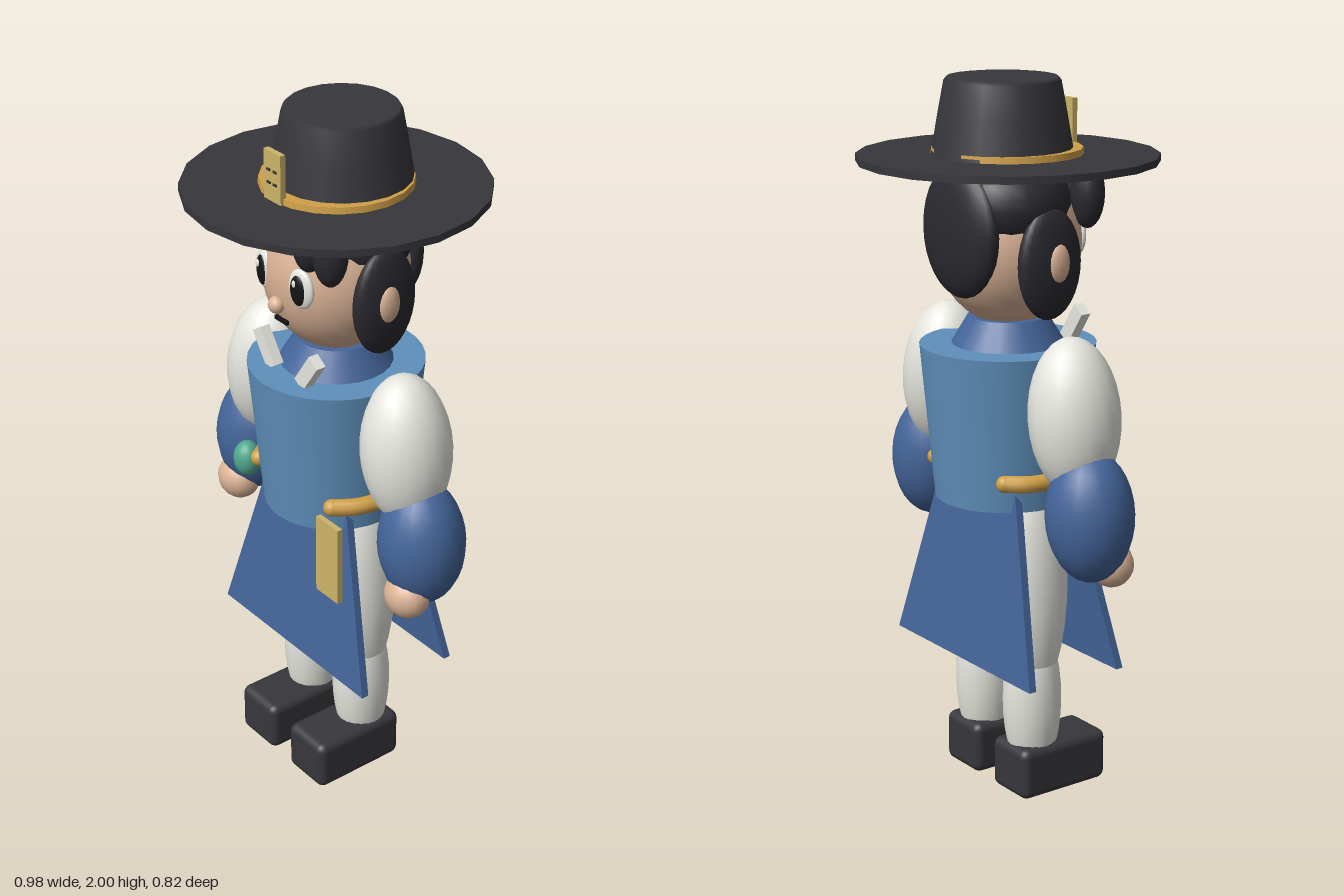
import * as THREE from 'three';
import { RoundedBoxGeometry } from 'three/addons/geometries/RoundedBoxGeometry.js';

const paint = (name, color) => {
  const m = new THREE.MeshStandardMaterial({ color });
  m.name = name;
  return m;
};

export function createModel() {
  const hatBlack = paint('hatBlack', 0x37373c);
  const hairBlack = paint('hairBlack', 0x2a2a30);
  const gold = paint('gold', 0xd0a048);
  const paleGold = paint('paleGold', 0xcdb469);
  const navy = paint('navyBlue', 0x44659a);
  const vestBlue = paint('vestBlue', 0x5f90bb);
  const white = paint('clothWhite', 0xe6e6df);
  const skin = paint('skin', 0xdcb497);
  const teal = paint('teal', 0x4fa88f);
  const ink = paint('ink', 0x141416);

  const model = new THREE.Group();
  model.name = 'hattedFigure';

  const add = (name, geometry, material, x = 0, y = 0, z = 0) => {
    const mesh = new THREE.Mesh(geometry, material);
    mesh.name = name;
    mesh.position.set(x, y, z);
    model.add(mesh);
    return mesh;
  };
  const blob = (name, material, [x, y, z], [rx, ry, rz], w = 20, h = 16) =>
    add(name, new THREE.SphereGeometry(1, w, h).scale(rx, ry, rz), material, x, y, z);
  const box = (name, material, [x, y, z], [w, h, d]) =>
    add(name, new THREE.BoxGeometry(w, h, d), material, x, y, z);

  // Hat: flat brim, tapered crown, gold band and front badge
  add('hatBrim', new THREE.CylinderGeometry(0.408, 0.408, 0.02, 20), hatBlack, 0, 1.785, 0);
  const crown = [[0.192, 1.79], [0.173, 1.9], [0.156, 1.99], [0.148, 2.0], [0, 2.0]];
  add('hatCrown', new THREE.LatheGeometry(crown.map(p => new THREE.Vector2(...p)), 20), hatBlack, 0, 0, -0.018);
  add('hatBand', new THREE.CylinderGeometry(0.203, 0.206, 0.025, 20), gold, 0, 1.8, -0.002);
  box('hatBadge', paleGold, [0, 1.835, 0.197], [0.07, 0.19, 0.016]);
  for (const y of [1.845, 1.88]) {
    for (const s of [-1, 1]) box('badgeMark', hatBlack, [s * 0.013, y, 0.206], [0.014, 0.006, 0.005]);
  }

  // Head and face
  blob('head', skin, [0, 1.56, 0], [0.2, 0.23, 0.2], 28, 20);
  blob('nose', skin, [0, 1.5, 0.198], [0.024, 0.024, 0.022], 14, 10);
  box('mouth', ink, [0, 1.45, 0.181], [0.052, 0.011, 0.009]);

  // Hair: cap, back mass and fringe locks
  blob('hairCap', hairBlack, [0, 1.67, -0.025], [0.205, 0.15, 0.18], 24, 16);
  blob('backHair', hairBlack, [0, 1.6, -0.155], [0.16, 0.18, 0.055]);
  for (const [x, y, z] of [[-0.16, 1.695, 0.145], [-0.085, 1.71, 0.155], [0, 1.725, 0.16],
    [0.085, 1.71, 0.155], [0.16, 1.695, 0.145]]) {
    blob('fringeLock', hairBlack, [x, y, z], [0.05, 0.095, 0.045], 16, 12);
  }

  // Torso
  add('collar', new THREE.CylinderGeometry(0.11, 0.17, 0.1, 24), navy, 0, 1.305, 0);
  add('vest', new THREE.CylinderGeometry(0.24, 0.2, 0.43, 32).scale(0.99, 1, 1.02), vestBlue, 0, 1.065, 0);

  // Skirt panels: box narrowed at the top and leaning outward to the hem
  for (const s of [1, -1]) {
    const g = new THREE.BoxGeometry(0.64, 0.56, 0.022);
    const p = g.attributes.position;
    for (let i = 0; i < p.count; i++) {
      const t = (p.getY(i) + 0.28) / 0.56;
      p.setX(i, p.getX(i) * (1 - 0.495 * t));
      p.setZ(i, p.getZ(i) + s * (0.149 - 0.062 * t));
    }
    g.computeVertexNormals();
    add(s > 0 ? 'frontSkirt' : 'backSkirt', g, navy, 0, 0.67, 0);
  }

  // Mirrored parts
  for (const s of [1, -1]) {
    const side = s > 0 ? 'left' : 'right';

    // Eye: white, dark pupil, small highlight
    const eye = blob(side + 'Eye', white, [s * 0.078, 1.57, 0.176], [0.043, 0.056, 0.016]);
    eye.rotation.y = s * 0.2;
    const pupil = blob(side + 'Pupil', ink, [s * 0.078, 1.568, 0.186], [0.026, 0.043, 0.01], 16, 12);
    pupil.rotation.y = s * 0.2;
    blob(side + 'EyeGlint', white, [s * 0.078 - 0.007, 1.586, 0.194], [0.008, 0.011, 0.004], 10, 8);

    // Side lock with the ear showing through
    blob(side + 'SideHair', hairBlack, [s * 0.193, 1.525, -0.005], [0.038, 0.15, 0.1]);
    blob(side + 'Ear', skin, [s * 0.22, 1.53, 0.003], [0.022, 0.055, 0.036], 14, 10);

    // Lapel strip
    const lapel = box(side + 'Lapel', white, [s * 0.092, 1.325, 0.16], [0.042, 0.11, 0.03]);
    lapel.rotation.z = -s * 0.6;

    // Arm: sleeve, cuff, hand
    const sleeve = blob(side + 'Sleeve', white, [s * 0.3, 1.13, 0], [0.12, 0.216, 0.127]);
    sleeve.rotation.z = s * 0.1;
    const cuff = blob(side + 'Cuff', navy, [s * 0.37, 0.876, 0], [0.121, 0.182, 0.12]);
    cuff.rotation.z = s * 0.06;
    blob(side + 'Hand', skin, [s * 0.385, 0.735, 0.06], [0.068, 0.065, 0.06], 16, 12);

    // Belt roll on the hip
    const pts = [[0.165, 0.145], [0.205, 0.08], [0.215, 0], [0.205, -0.08], [0.165, -0.13]]
      .map(([x, z]) => new THREE.Vector3(s * x, 0.935, z));
    add(side + 'Belt', new THREE.TubeGeometry(new THREE.CatmullRomCurve3(pts), 20, 0.024, 10), gold);
    for (const e of [pts[0], pts[4]]) blob(side + 'BeltEnd', gold, e.toArray(), [0.024, 0.024, 0.024], 12, 10);

    // Leg and shoe
    blob(side + 'Thigh', white, [s * 0.115, 0.62, 0], [0.095, 0.35, 0.1]);
    blob(side + 'Shin', white, [s * 0.115, 0.27, 0], [0.08, 0.24, 0.084]);
    add(side + 'Shoe', new RoundedBoxGeometry(0.16, 0.15, 0.292, 3, 0.025), hatBlack, s * 0.115, 0.075, 0.062);
  }

  // Hanging ornaments
  blob('beltBead', teal, [-0.228, 0.902, 0.14], [0.041, 0.054, 0.04], 16, 12);
  box('beltTag', paleGold, [0.207, 0.807, 0.187], [0.095, 0.236, 0.016]);

  return model;
}
